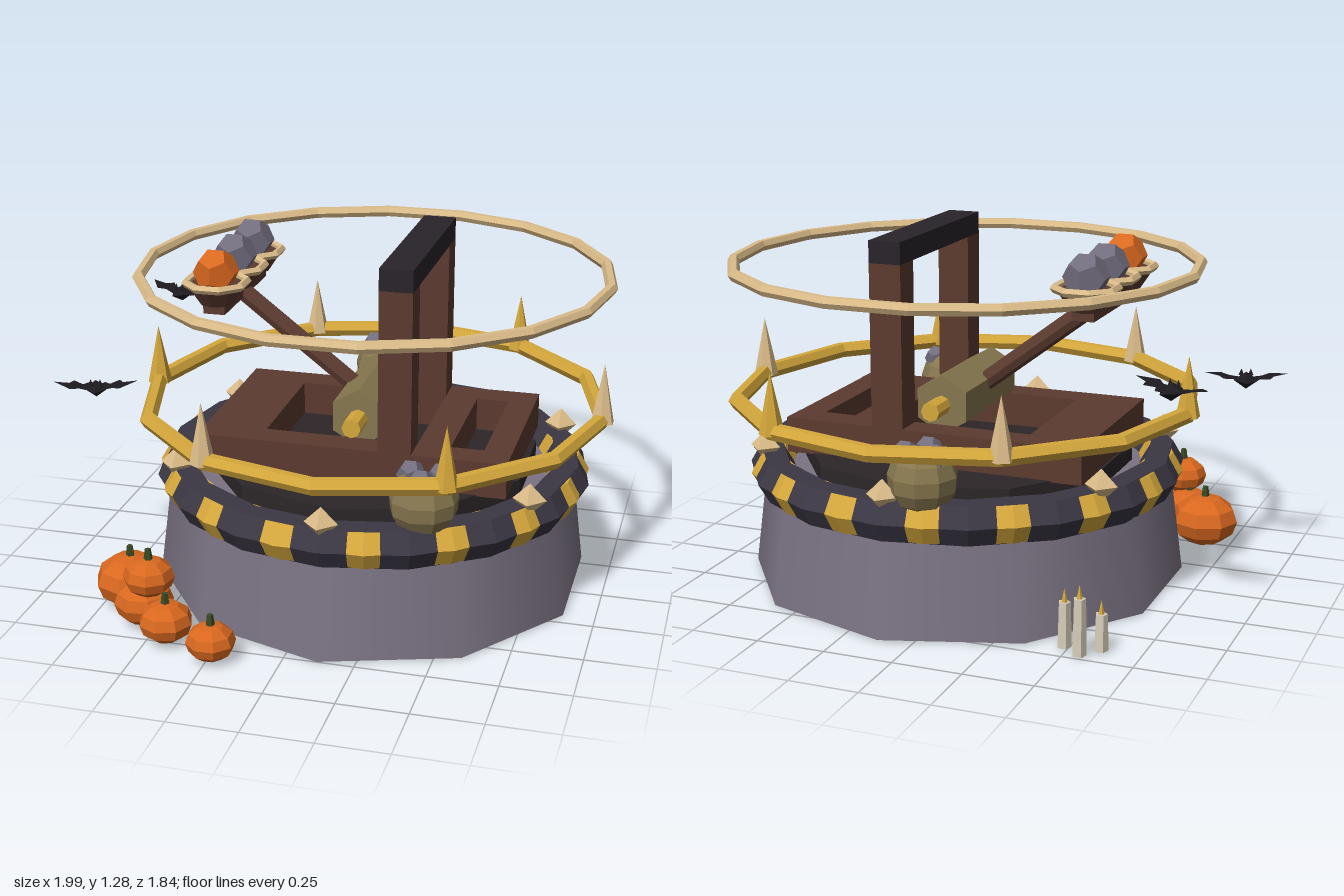
import * as THREE from 'three';

const CX = 0.12, CZ = -0.05; // axis of the round tower

const mat = (color, flatShading = true, side = THREE.FrontSide) =>
  new THREE.MeshStandardMaterial({ color, flatShading, side });
const M = {
  stone: mat(0x7b7383, false), rock: mat(0x716c7c), dark: mat(0x3b3744), pit: mat(0x2c2628),
  wood: mat(0x5c3b30), black: mat(0x29242a), gold: mat(0xd6a83c), cream: mat(0xdcbd8a),
  olive: mat(0x86774f), orange: mat(0xd9681f), stem: mat(0x3b4a22), wax: mat(0xd6cdb8),
  bat: mat(0x1d1b20, true, THREE.DoubleSide),
};

export function createModel() {
  const root = new THREE.Group();

  function add(name, geo, material, x = 0, y = 0, z = 0, parent = root) {
    const m = new THREE.Mesh(geo, material);
    m.name = name;
    m.position.set(x, y, z);
    parent.add(m);
    return m;
  }
  // box given by its min and max along each axis
  const box = (name, material, x0, x1, y0, y1, z0, z1) =>
    add(name, new THREE.BoxGeometry(x1 - x0, y1 - y0, z1 - z0), material,
      (x0 + x1) / 2, (y0 + y1) / 2, (z0 + z1) / 2);
  // horizontal ring
  const ring = (name, material, r, tube, radial, segs, x, y, z, turn = 0) =>
    add(name, new THREE.TorusGeometry(r, tube, radial, segs).rotateX(Math.PI / 2).rotateY(turn),
      material, x, y, z);
  // six places around the tower axis
  const six = (r, start, fn) => {
    for (let i = 0; i < 6; i++) {
      const a = start + i * Math.PI / 3;
      fn(CX + r * Math.cos(a), CZ + r * Math.sin(a), i);
    }
  };

  // Tower base, floor and padded rim with gold showing through
  add('towerBase', new THREE.CylinderGeometry(0.75, 0.805, 0.42, 10), M.stone, CX, 0.21, CZ);
  add('towerFloor', new THREE.CylinderGeometry(0.61, 0.61, 0.08, 10), M.pit, CX, 0.445, CZ);
  ring('rim', M.dark, 0.725, 0.08, 6, 16, CX, 0.41, CZ);
  ring('rimInlay', M.gold, 0.725, 0.076, 6, 16, CX, 0.41, CZ, Math.PI / 16);
  six(0.745, Math.PI / 6, (x, z) =>
    add('rimStud', new THREE.OctahedronGeometry(0.06), M.cream, x, 0.495, z));

  // Floating rings and spikes
  ring('lowerRing', M.gold, 0.842, 0.031, 6, 12, CX, 0.67, CZ);
  ring('upperRing', M.cream, 0.848, 0.022, 6, 18, CX, 1.16, CZ);
  six(0.84, 0, (x, z, i) =>
    add('spike', new THREE.ConeGeometry(0.045, 0.22, 6), i % 2 ? M.gold : M.cream, x, 0.77, z));

  // Catapult frame
  for (const z of [-0.41, 0.20]) {
    box('sideRail', M.wood, -0.45, 0.68, 0.48, 0.61, z, z + 0.11);
    box('post', M.wood, 0.22, 0.34, 0.61, 1.2, z, z + 0.11);
  }
  for (const [x0, x1] of [[-0.45, -0.22], [0.34, 0.46], [0.58, 0.68]])
    box('crossRail', M.wood, x0, x1, 0.48, 0.609, -0.30, 0.20);
  box('topBeam', M.black, 0.22, 0.34, 1.2, 1.28, -0.41, 0.31);

  // Drum, axle and throwing arm
  add('drum', new THREE.CylinderGeometry(0.108, 0.108, 0.48, 6).rotateX(Math.PI / 2),
    M.olive, 0.12, 0.68, CZ);
  add('axle', new THREE.CylinderGeometry(0.035, 0.035, 0.69, 8).rotateX(Math.PI / 2),
    M.gold, 0.12, 0.68, CZ);
  const from = new THREE.Vector3(0.07, 0.70, CZ), to = new THREE.Vector3(-0.40, 1.06, CZ);
  const dir = to.clone().sub(from);
  const arm = add('arm', new THREE.CylinderGeometry(0.035, 0.035, dir.length(), 8), M.wood);
  arm.position.copy(from).lerp(to, 0.5);
  arm.quaternion.setFromUnitVectors(new THREE.Vector3(0, 1, 0), dir.normalize());
  box('armCrossbar', M.wood, -0.45, -0.37, 1.03, 1.09, -0.30, 0.20);

  // Three cups with their loads
  [-0.265, -0.05, 0.165].forEach((z, i) => {
    add('cup', new THREE.CylinderGeometry(0.11, 0.06, 0.075, 8), M.wood, -0.41, 1.1, z);
    ring('cupRim', M.cream, 0.11, 0.016, 5, 8, -0.41, 1.14, z, Math.PI / 8);
    add('shot', new THREE.DodecahedronGeometry(0.083), i === 2 ? M.orange : M.rock, -0.41, 1.18, z);
  });

  // Pots of stones on the rim
  for (const [x, z] of [[0.44, 0.55], [0.0, -0.73]]) {
    add('pot', new THREE.SphereGeometry(0.122, 9, 6, 0, Math.PI * 2, 0.6, Math.PI - 0.6),
      M.olive, x, 0.55, z);
    for (let i = 0; i < 3; i++) {
      const a = Math.PI / 2 + i * Math.PI * 2 / 3;
      add('potStone', new THREE.DodecahedronGeometry(0.05), M.rock,
        x + 0.06 * Math.cos(a), 0.635, z + 0.05 * Math.sin(a));
    }
  }

  // Pumpkins
  const pumpkins = [[-0.65, 0.095, 0.50, 0.13], [-0.55, 0.085, 0.635, 0.107],
    [-0.51, 0.21, 0.68, 0.092], [-0.43, 0.075, 0.74, 0.097], [-0.235, 0.07, 0.83, 0.088]];
  pumpkins.forEach(([x, y, z, r], i) => {
    const p = new THREE.Group();
    p.name = 'pumpkin';
    p.position.set(x, y, z);
    p.rotation.y = i * 0.5;
    root.add(p);
    add('pumpkinBody', new THREE.SphereGeometry(r, 8, 6).scale(1, 0.76, 1), M.orange, 0, 0, 0, p);
    add('pumpkinStem', new THREE.CylinderGeometry(0.011, 0.018, 0.05, 5), M.stem, 0, r * 0.76 + 0.01, 0, p);
  });

  // Candles behind the tower
  for (const [x, z, h] of [[-0.61, -0.66, 0.13], [-0.555, -0.725, 0.20], [-0.485, -0.675, 0.16]]) {
    add('candle', new THREE.CylinderGeometry(0.022, 0.026, h, 5), M.wax, x, h / 2, z);
    add('flame', new THREE.ConeGeometry(0.011, 0.05, 5), M.gold, x, h + 0.025, z);
  }

  // Bats with raised, scalloped wings
  const wing = new THREE.Shape([[0, 0.04], [0.06, 0.03], [0.09, 0.05], [0.155, 0], [0.1, -0.012],
    [0.085, -0.045], [0.05, -0.02], [0.03, -0.05], [0, -0.03]].map(p => new THREE.Vector2(...p)));
  for (const [x, y, z, turn] of [[-0.785, 0.87, -0.5, -0.4], [-0.85, 0.73, 0.265, 0.3]]) {
    const b = new THREE.Group();
    b.name = 'bat';
    b.position.set(x, y, z);
    b.rotation.y = turn;
    root.add(b);
    add('batBody', new THREE.OctahedronGeometry(1).scale(0.045, 0.032, 0.06), M.bat, 0, 0, 0, b);
    for (const s of [-1, 1]) {
      const w = add('batWing', new THREE.ShapeGeometry(wing).rotateX(Math.PI / 2), M.bat, 0, 0, 0, b);
      w.scale.x = s;
      w.rotation.z = s * 0.18;
    }
    for (const s of [-1, 1])
      add('batEar', new THREE.ConeGeometry(0.01, 0.025, 4), M.bat, s * 0.017, 0.028, 0.015, b);
  }
  return root;
}
